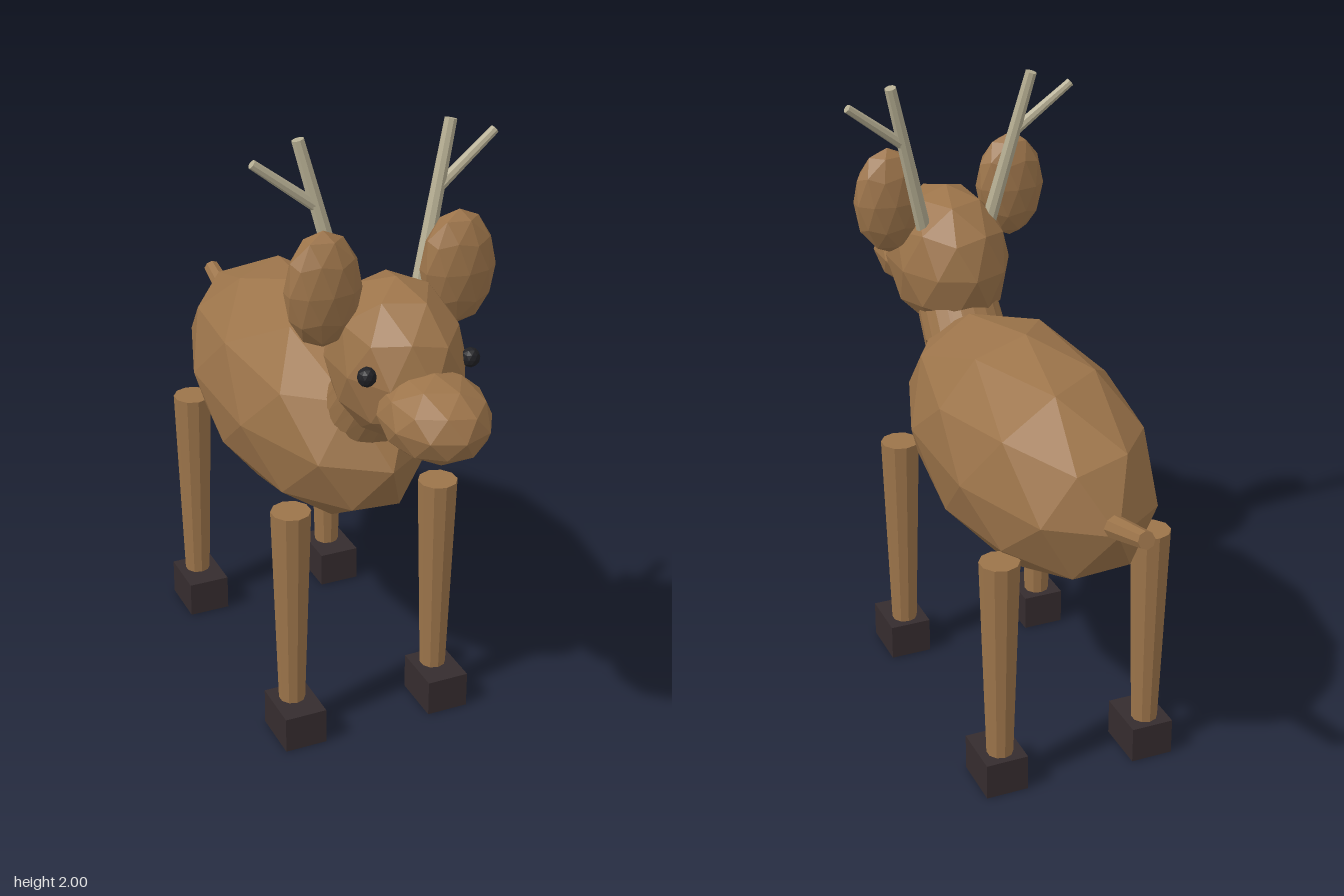
import * as THREE from 'three';

const mat = (name, color) => {
  const m = new THREE.MeshStandardMaterial({ color, flatShading: true });
  m.name = name;
  return m;
};

export function createModel() {
  const group = new THREE.Group();
  const fur = mat('brown fur', 0x9c744a);
  const hoofMat = mat('dark hoof', 0x352c2e);
  const antlerMat = mat('pale antler', 0xb5ad92);
  const eyeMat = mat('black eye', 0x202024);

  const add = (name, geometry, material, pos = [0, 0, 0]) => {
    const mesh = new THREE.Mesh(geometry, material);
    mesh.name = name;
    mesh.position.set(...pos);
    group.add(mesh);
    return mesh;
  };

  // Faceted ball with a corner at the top, stretched to three radii
  const ball = (name, material, pos, [rx, ry, rz]) => {
    const g = new THREE.IcosahedronGeometry(1, 1);
    g.rotateZ(-Math.atan(2 / (1 + Math.sqrt(5))));
    g.scale(rx, ry, rz);
    g.computeVertexNormals();
    return add(name, g, material, pos);
  };

  // Tapered rod between two points
  const rod = (name, material, from, to, r0, r1, sides = 8) => {
    const a = new THREE.Vector3(...from), b = new THREE.Vector3(...to);
    const dir = b.clone().sub(a);
    const mesh = add(name, new THREE.CylinderGeometry(r1, r0, dir.length(), sides), material);
    mesh.position.copy(a).add(b).multiplyScalar(0.5);
    mesh.quaternion.setFromUnitVectors(new THREE.Vector3(0, 1, 0), dir.normalize());
    return mesh;
  };

  // Body, head and muzzle
  ball('body', fur, [0, 0.975, -0.135], [0.32, 0.36, 0.675]);
  ball('head', fur, [0, 1.357, 0.53], [0.197, 0.248, 0.268]);
  ball('muzzle', fur, [0, 1.287, 0.79], [0.157, 0.125, 0.2]);

  // Neck with a jagged lower edge
  const neck = rod('neck', fur, [0, 1.135, 0.375], [0, 1.29, 0.5], 0.138, 0.13, 20);
  const p = neck.geometry.attributes.position;
  for (let i = 0; i < p.count; i++) {
    const x = p.getX(i), z = p.getZ(i);
    if (p.getY(i) > 0 || Math.hypot(x, z) < 0.01) continue;
    const step = Math.round(Math.atan2(x, z) / (Math.PI / 10));
    if (step % 2 === 0) p.setY(i, p.getY(i) - 0.035);
  }
  neck.geometry.computeVertexNormals();

  // Tail
  rod('tail', fur, [0, 0.965, -0.68], [0, 1.055, -0.98], 0.04, 0.027);

  for (const [side, s] of [['left', 1], ['right', -1]]) {
    // Ears and eyes
    ball(side + 'Ear', fur, [s * 0.212, 1.588, 0.5], [0.117, 0.177, 0.076]);
    ball(side + 'Eye', eyeMat, [s * 0.162, 1.39, 0.69], [0.028, 0.03, 0.028]);

    // Antlers: main beam and one outward tine
    rod(side + 'AntlerBeam', antlerMat, [s * 0.115, 1.5, 0.44], [s * 0.237, 1.995, 0.382], 0.025, 0.019);
    rod(side + 'AntlerTine', antlerMat, [s * 0.19, 1.8, 0.405], [s * 0.377, 1.945, 0.388], 0.018, 0.014);

    // Legs and hooves
    for (const [end, z] of [['Front', 0.343], ['Back', -0.522]]) {
      rod(side + end + 'Leg', fur, [s * 0.25, 0.08, z], [s * 0.25, 0.8, z], 0.041, 0.063, 10);
      add(side + end + 'Hoof', new THREE.BoxGeometry(0.138, 0.12, 0.178), hoofMat, [s * 0.25, 0.06, z + 0.026]);
    }
  }
  return group;
}
